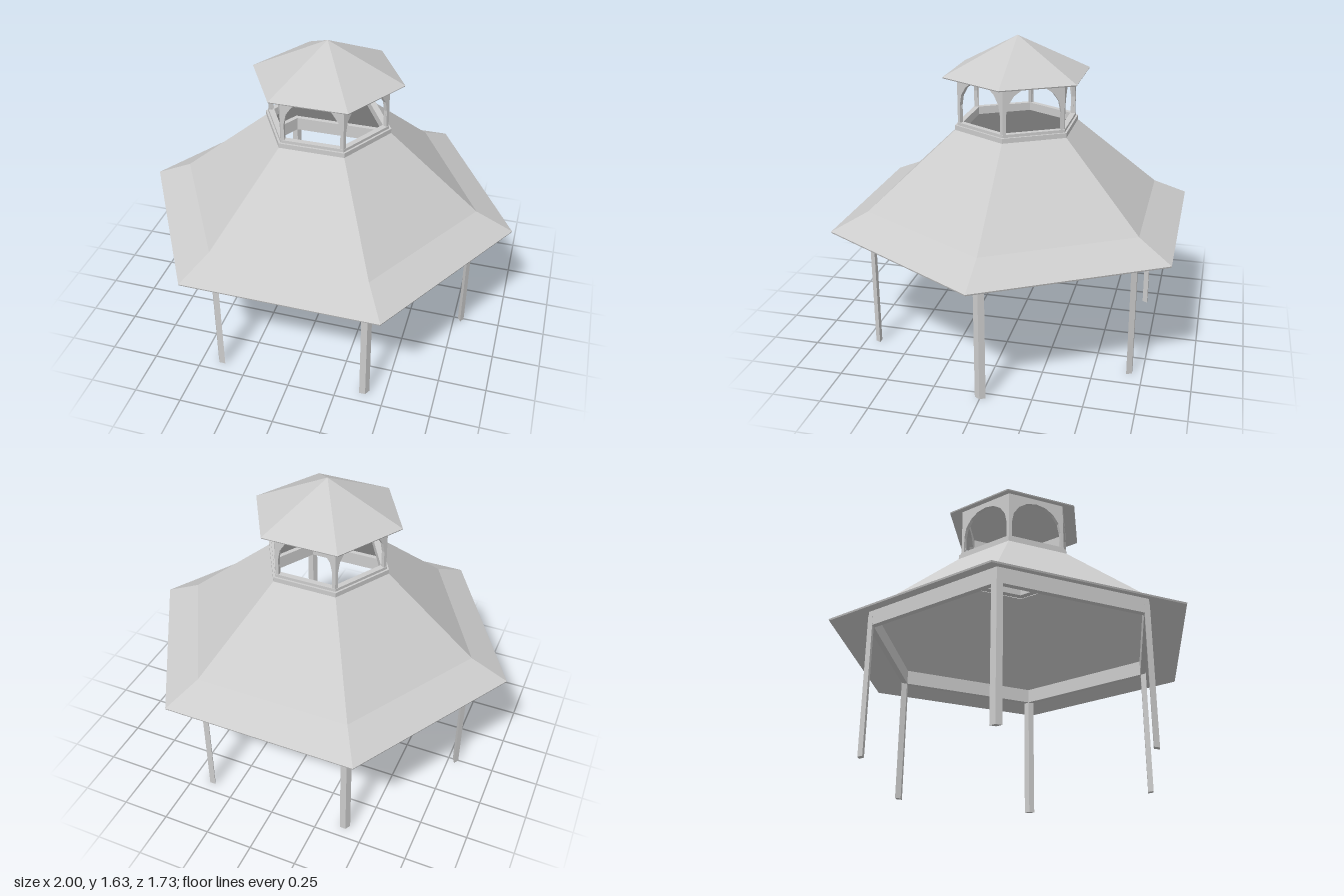
import * as THREE from 'three';

const SIDES = 6;
const STEP = (Math.PI * 2) / SIDES;

export function createModel() {
  const group = new THREE.Group();
  group.name = 'gazebo';
  const material = new THREE.MeshStandardMaterial({ color: 0xcccccc, flatShading: true });

  const add = (geometry, name) => {
    const flat = geometry.index ? geometry.toNonIndexed() : geometry;
    flat.computeVertexNormals();
    const mesh = new THREE.Mesh(flat, material);
    mesh.name = name;
    group.add(mesh);
    return mesh;
  };

  // Hexagonal solid from a closed (radius, height) section, corners on the x axis
  const hexRing = (section, name) => {
    const points = [...section, section[0]].map(([r, y]) => new THREE.Vector2(r, y));
    return add(new THREE.LatheGeometry(points, SIDES, Math.PI / 2), name);
  };

  // Main roof shell with flared eaves, open at the top
  hexRing([
    [0.997, 0.664], [1, 0.672], [0.805, 0.762], [0.335, 1.16],
    [0.326, 1.152], [0.8, 0.751],
  ], 'mainRoof');

  // Perimeter beam under the roof
  hexRing([[0.803, 0.67], [0.803, 0.75], [0.77, 0.75], [0.77, 0.67]], 'ringBeam');

  // Stepped curb carrying the cupola
  hexRing([
    [0.335, 1.158], [0.335, 1.185], [0.323, 1.185], [0.323, 1.2],
    [0.29, 1.2], [0.29, 1.158],
  ], 'cupolaCurb');

  // Cupola roof shell
  hexRing([[0.392, 1.434], [0.395, 1.44], [0, 1.632], [0, 1.624]], 'cupolaRoof');

  // Diamond-section corner post, its outer faces in line with the beam
  const post = new THREE.Shape([
    new THREE.Vector2(0.805, 0), new THREE.Vector2(0.789, 0.0275),
    new THREE.Vector2(0.773, 0), new THREE.Vector2(0.789, -0.0275),
  ]);
  const postGeometry = new THREE.ExtrudeGeometry(post, { depth: 0.72, bevelEnabled: false });
  postGeometry.rotateX(-Math.PI / 2);

  // Arched cupola panel
  const half = 0.16, open = 0.143, base = 1.195, spring = 1.29, top = 1.462;
  const panel = new THREE.Shape();
  panel.moveTo(-half, base);
  panel.lineTo(-open, base);
  for (let i = 0; i <= 8; i++) {
    const a = Math.PI - (i * Math.PI) / 8;
    panel.lineTo(open * Math.cos(a), spring + open * Math.sin(a));
  }
  panel.lineTo(open, base);
  panel.lineTo(half, base);
  panel.lineTo(half, top);
  panel.lineTo(-half, top);
  panel.closePath();
  const panelGeometry = new THREE.ExtrudeGeometry(panel, { depth: 0.02, bevelEnabled: false });
  panelGeometry.translate(0, 0, half * Math.sqrt(3) - 0.02);

  for (let i = 0; i < SIDES; i++) {
    add(postGeometry, 'post').rotation.y = i * STEP;
    add(panelGeometry, 'cupolaArch').rotation.y = i * STEP;
  }
  return group;
}
